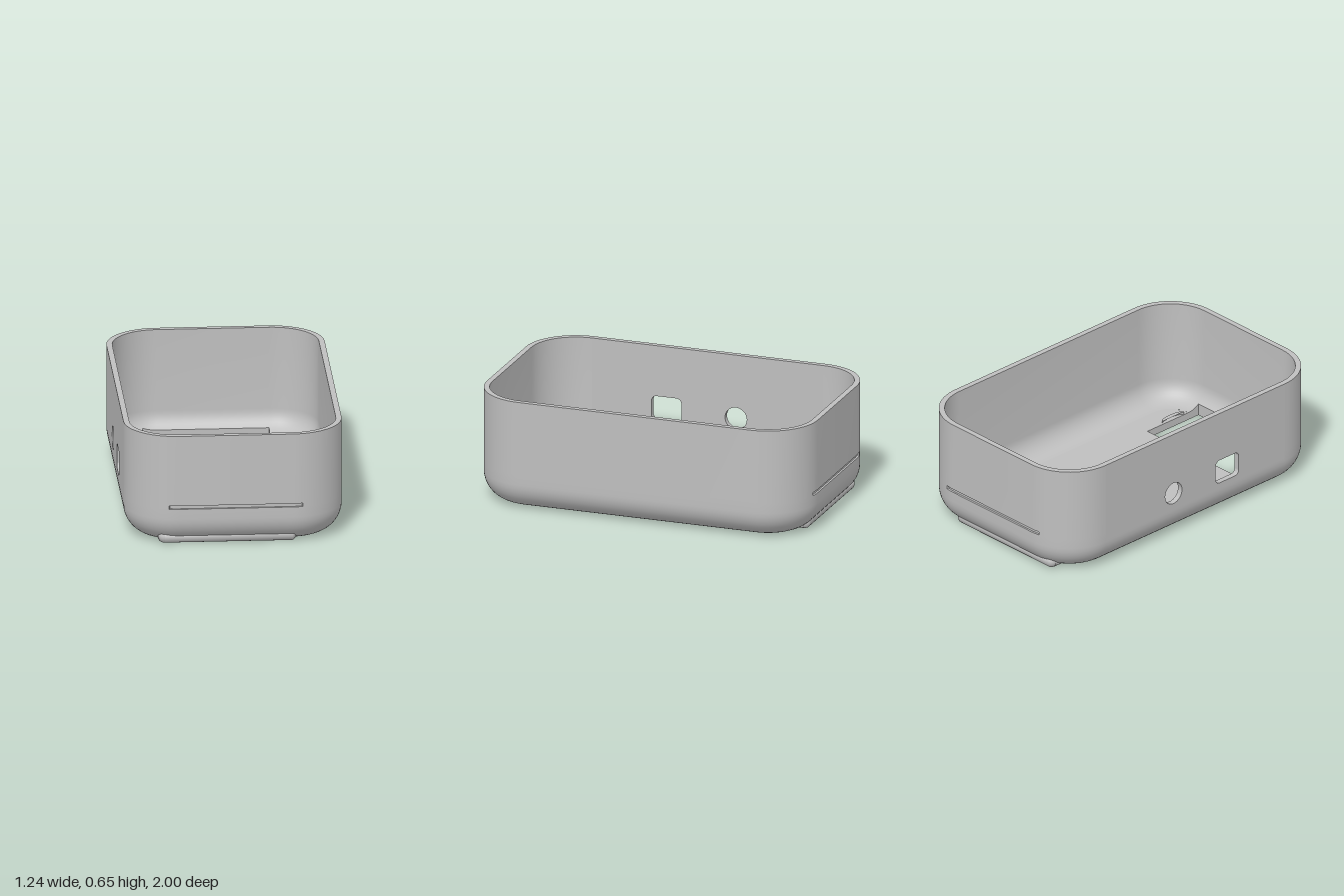
import * as THREE from 'three';
import { mergeGeometries, toCreasedNormals } from 'three/addons/utils/BufferGeometryUtils.js';

// Tray plan: a core rectangle grown by a corner radius
const CX = 0.32, CZ = 0.7, R = 0.3, HEIGHT = 0.655, WALL = 0.033;
const FILLET = 0.16, FLOOR = 0.045, PANEL_Y = 0.18;
// Floor openings, mirrored front to back
const WX0 = -0.4, WX1 = 0.32, WZ0 = 0.52, WZ1 = 0.918;

// Heights of the outer and inner bottom fillets at inset d from the outline
const outerY = d => FILLET - Math.sqrt(Math.max(0, FILLET ** 2 - (FILLET - d) ** 2));
const innerY = d => {
  const r = FILLET - WALL;
  return FLOOR + r - Math.sqrt(Math.max(0, r * r - (FILLET - d) ** 2));
};

// Outline columns: end columns keep a fixed x, corner columns sweep an arc
const endCol = (x, s) => ({
  x, s, at: d => [x, s * (CZ + Math.sqrt((R - d) ** 2 - Math.max(0, Math.abs(x) - CX) ** 2))],
});
const cornerCol = (sx, sz, t) => ({
  at: d => {
    const r = R - d, a0 = Math.asin(0.08 / r), a = a0 + (Math.PI / 2 - a0) * t;
    return [sx * (CX + r * Math.sin(a)), sz * (CZ + r * Math.cos(a))];
  },
});
const corner = (sx, sz) => Array.from({ length: 15 }, (_, i) => cornerCol(sx, sz, i / 14));

// Wall section: points of [inset, height, isInner]
function fillet(inner) {
  const pts = [], r = inner ? FILLET - WALL : FILLET;
  for (let i = 0; i <= 10; i++) {
    const a = (i / 10) * Math.PI / 2;
    pts.push([FILLET - r * Math.sin(a), (inner ? FLOOR : 0) + r * (1 - Math.cos(a)), inner]);
  }
  return pts;
}
const outerFillet = fillet(false), innerFillet = fillet(true).reverse();
const GROOVE = 'groove';
const section = [
  ...outerFillet, [0, 0.22], [GROOVE, 0.22], [GROOVE, 0.24], [0, 0.24],
  [0, HEIGHT], [WALL, HEIGHT], ...innerFillet,
];
const lowOuter = [...outerFillet, [0, PANEL_Y]];
const lowInner = [[WALL, PANEL_Y, true], ...innerFillet];

// Skin a section along a run of columns; cut trims it at the floor opening
function loft(cols, profile, cut = false) {
  const prof = cut ? [...profile, profile[0]] : profile;
  const pos = [], index = [], n = prof.length;
  cols.forEach((c, i) => {
    prof.forEach(([inset, h, inner], j) => {
      let y = h;
      const d = inset === GROOVE ? (c.s && Math.abs(c.x) < 0.379 ? 0.012 : 0) : inset;
      let [x, z] = c.at(d);
      if (cut && Math.abs(z) < WZ1) {
        z = c.s * WZ1;
        const dd = R - Math.hypot(WZ1 - CZ, Math.max(0, Math.abs(x) - CX));
        y = inner ? innerY(dd) : outerY(dd);
      }
      pos.push(x, y, z);
      if (i && j) {
        const a = (i - 1) * n + j - 1, b = i * n + j - 1;
        index.push(a, b, b + 1, a, b + 1, a + 1);
      }
    });
  });
  const g = new THREE.BufferGeometry();
  g.setAttribute('position', new THREE.Float32BufferAttribute(pos, 3));
  g.setIndex(index);
  return g;
}

function shellGeometry() {
  const parts = [];
  const cutXs = [-0.4, -0.38, -0.375, -0.35, -0.32, 0, 0.32], restXs = [0.32, 0.35, 0.375, 0.38, 0.4];
  for (const s of [1, -1]) {
    const run = xs => {
      const cols = xs.map(x => endCol(x, s));
      return s > 0 ? cols : cols.reverse();
    };
    parts.push(loft(run(cutXs), section, true), loft(run(restXs), section));
  }
  // plain long side with its two corners
  parts.push(loft([...corner(1, 1), ...corner(1, -1).reverse()], section));
  // other side: corners full height, middle only up to the drilled panel
  parts.push(loft(corner(-1, -1), section), loft(corner(-1, 1).reverse(), section));
  const mid = [cornerCol(-1, -1, 1), cornerCol(-1, 1, 1)];
  parts.push(loft(mid, lowOuter), loft(mid, lowInner));
  return toCreasedNormals(mergeGeometries(parts), 0.6);
}

// Flat floor with a notch for each opening
function floorGeometry() {
  const p = (...cols) => cols.map(c => c.at(FILLET));
  const pts = [
    [WX1, WZ0], ...p(endCol(0.32, 1), endCol(0.36, 1), ...corner(1, 1)),
    ...p(...corner(1, -1).reverse(), endCol(0.36, -1), endCol(0.32, -1)),
    [WX1, -WZ0], [WX0, -WZ0], ...p(...corner(-1, -1)),
    ...p(...corner(-1, 1).reverse()), [WX0, WZ0],
  ];
  const shape = new THREE.Shape(pts.map(([x, z]) => new THREE.Vector2(x, -z)));
  return new THREE.ExtrudeGeometry(shape, { depth: FLOOR, bevelEnabled: false }).rotateX(-Math.PI / 2);
}

// Cut face of the fillet at one side of an opening
function cheekGeometry(x) {
  const z0 = CZ + Math.sqrt((R - FILLET) ** 2 - Math.max(0, Math.abs(x) - CX) ** 2);
  const top = [], bottom = [];
  for (let i = 0; i <= 8; i++) {
    const z = z0 + (WZ1 - z0) * i / 8;
    const d = R - Math.hypot(z - CZ, Math.max(0, Math.abs(x) - CX));
    bottom.push(new THREE.Vector2(-z, outerY(d)));
    top.unshift(new THREE.Vector2(-z, innerY(d)));
  }
  return new THREE.ShapeGeometry(new THREE.Shape([...bottom, ...top])).rotateY(Math.PI / 2).translate(x, 0, 0);
}

// Long wall panel with a round and a rounded-square port
function panelGeometry() {
  const s = new THREE.Shape();
  s.moveTo(-CZ, PANEL_Y).lineTo(CZ, PANEL_Y).lineTo(CZ, HEIGHT).lineTo(-CZ, HEIGHT).closePath();
  const round = new THREE.Path().absarc(-0.17, 0.275, 0.066, 0, Math.PI * 2, true);
  const x0 = 0.16, x1 = 0.34, y0 = 0.207, y1 = 0.353, r = 0.03, H = Math.PI / 2;
  const square = new THREE.Path();
  square.absarc(x1 - r, y1 - r, r, 0, H).absarc(x0 + r, y1 - r, r, H, 2 * H);
  square.absarc(x0 + r, y0 + r, r, 2 * H, 3 * H).absarc(x1 - r, y0 + r, r, 3 * H, 4 * H).closePath();
  s.holes.push(round, square);
  const g = new THREE.ExtrudeGeometry(s, { depth: WALL, bevelEnabled: false, curveSegments: 16 });
  return toCreasedNormals(g.rotateY(-Math.PI / 2).translate(-CX - R + WALL, 0, 0), 0.6);
}

export function createModel() {
  const group = new THREE.Group();
  const grey = new THREE.MeshStandardMaterial({ color: 0xbfbfbf });
  grey.name = 'grey plastic';
  const greyThin = grey.clone();
  greyThin.side = THREE.DoubleSide;
  const add = (name, geo, parent = group, mat = grey) => {
    const m = new THREE.Mesh(geo, mat);
    m.name = name;
    parent.add(m);
    return m;
  };
  add('shell', shellGeometry());
  add('floor', floorGeometry());
  add('portWall', panelGeometry());

  // Rounded lip section around the outer end of each opening
  const lip = [[0, 0], [0.008, 0], [0.022, 0.005], [0.032, 0.016], [0.037, 0.03], [0.037, 0.045], [0.03, 0.055], [0, 0.06]]
    .map(([r, y]) => new THREE.Vector2(r, y));
  const lipBar = len => toCreasedNormals(
    new THREE.ExtrudeGeometry(new THREE.Shape(lip), { depth: len, bevelEnabled: false }), 0.7);

  for (const s of [1, -1]) {
    const end = new THREE.Group();
    end.name = s > 0 ? 'frontOpening' : 'backOpening';
    group.add(end);
    const mirror = g => {
      if (s > 0) return g;
      // reflect in z and swap two corners of every face
      const m = (g.index ? g.toNonIndexed() : g).scale(1, 1, -1);
      for (const attr of Object.values(m.attributes)) {
        for (let i = 0; i < attr.count; i += 3) {
          for (let k = 0; k < attr.itemSize; k++) {
            const t = attr.getComponent(i, k);
            attr.setComponent(i, k, attr.getComponent(i + 1, k));
            attr.setComponent(i + 1, k, t);
          }
        }
      }
      return m;
    };
    add('lip', mirror(lipBar(WX1 - WX0).rotateY(-Math.PI / 2).translate(WX1, 0, WZ1)), end);
    for (const [x, dir, k] of [[WX1, 1, 0.7], [WX0, -1, 1]]) {
      const cap = new THREE.LatheGeometry(lip, 10, dir > 0 ? 0 : -Math.PI / 2, Math.PI / 2);
      add('lipEnd', mirror(cap.scale(k, 1, 1).translate(x, 0, WZ1)), end, greyThin);
      const side = lipBar(0.1).scale(k, 0.7, 1);
      if (dir < 0) side.rotateY(Math.PI).translate(0, 0, 0.1);
      add('lipSide', mirror(side.translate(x, 0, WZ1 - 0.1)), end);
      add('cheek', mirror(cheekGeometry(x)), end, greyThin);
    }
    // Latch covers on the floor beside the opening
    add('latchBlock', new THREE.BoxGeometry(0.037, 0.02, 0.16).translate(WX0 - 0.0185, FLOOR + 0.01, s * 0.72), end);
    const arc = new THREE.CylinderGeometry(0.085, 0.085, 0.02, 20, 1, false, 0, Math.PI).scale(0.32, 1, 1);
    add('latchArc', arc.translate(WX1, FLOOR + 0.01, s * 0.72), end, greyThin);
  }
  return group;
}
